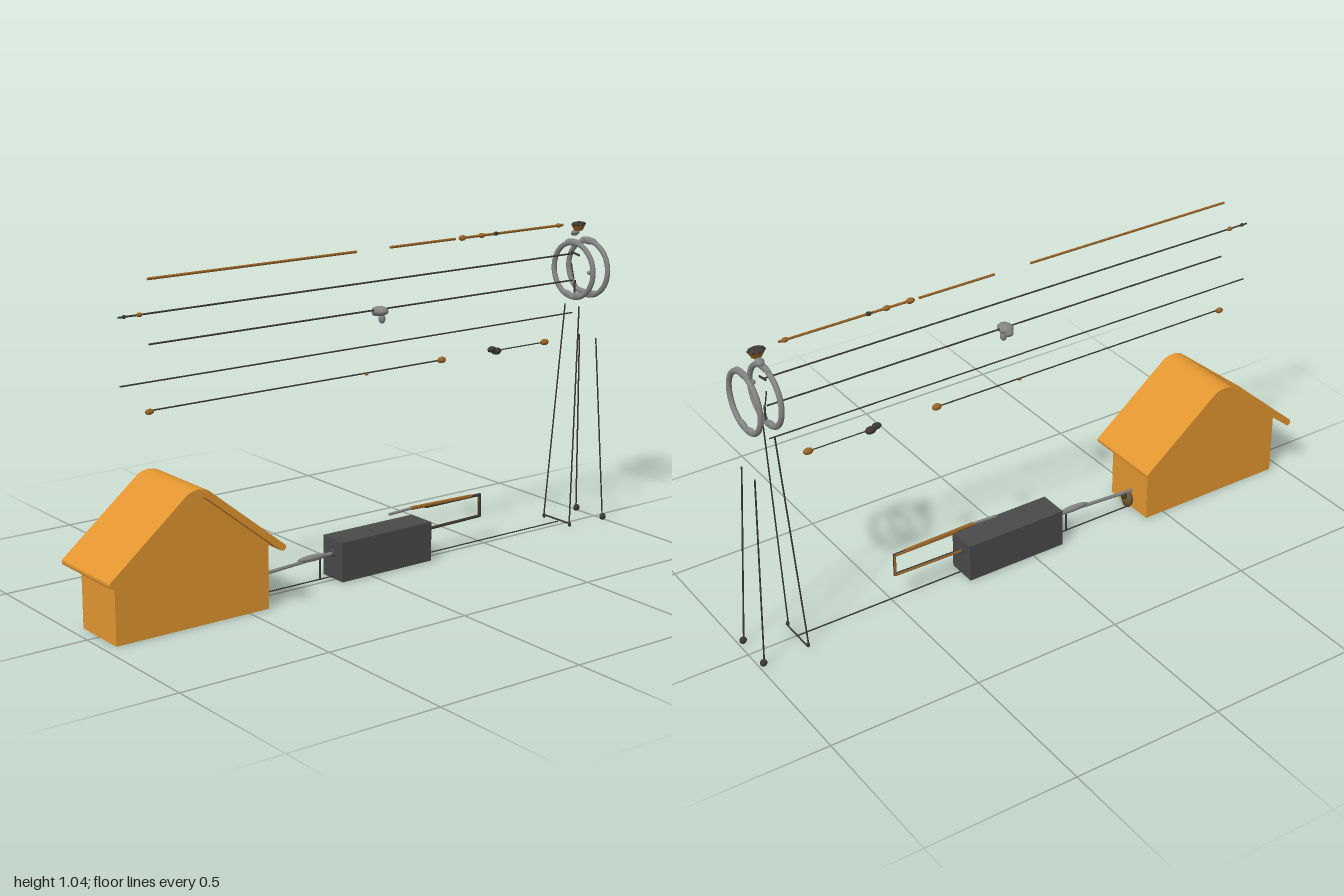
import * as THREE from 'three';

const mat = (name, color) => {
  const m = new THREE.MeshStandardMaterial({ color });
  m.name = name;
  return m;
};

export function createModel() {
  const root = new THREE.Group();
  const orange = mat('orange', 0xe29630);
  const charcoal = mat('charcoal', 0x4a4a4a);
  const steel = mat('steel', 0x848484);
  const wire = mat('dark wire', 0x3c3934);
  const rust = mat('rust', 0x9a6426);
  const olive = mat('olive', 0x6a5a30);
  const CX = -0.01; // shared centre line of the machinery

  const add = (name, geo, material, x = 0, y = 0, z = 0) => {
    const m = new THREE.Mesh(geo, material);
    m.name = name;
    m.position.set(x, y, z);
    root.add(m);
    return m;
  };
  // Straight rod between two points
  const rod = (name, a, b, r, material) => {
    const p = new THREE.Vector3(...a), q = new THREE.Vector3(...b);
    const m = add(name, new THREE.CylinderGeometry(r, r, p.distanceTo(q), 6), material);
    m.position.copy(p).lerp(q, 0.5);
    m.quaternion.setFromUnitVectors(new THREE.Vector3(0, 1, 0), q.sub(p).normalize());
    return m;
  };
  // Small rounded lump, stretched per axis
  const lump = (name, x, y, z, sx, sy, sz, material) => {
    const m = add(name, new THREE.SphereGeometry(1, 10, 7), material, x, y, z);
    m.scale.set(sx, sy, sz);
    return m;
  };
  // Extrude a side profile across x
  const across = (name, shape, x0, x1, z) => {
    const g = new THREE.ExtrudeGeometry(shape, { depth: x1 - x0, bevelEnabled: false, curveSegments: 8 });
    g.rotateY(Math.PI / 2);
    return add(name, g, orange, x0, 0, z);
  };

  // House walls with gabled sides reaching into the roof
  const wall = new THREE.Shape();
  wall.moveTo(-0.265, 0);
  wall.lineTo(0.265, 0);
  wall.lineTo(0.265, 0.216);
  wall.lineTo(0.033, 0.405);
  wall.quadraticCurveTo(0, 0.426, -0.033, 0.405);
  wall.lineTo(-0.265, 0.216);
  across('houseWalls', wall, -0.092, 0.098, 0.695);

  // Overhanging roof with a rounded ridge
  const roof = new THREE.Shape();
  roof.moveTo(-0.3, 0.207);
  roof.quadraticCurveTo(-0.304, 0.19, -0.288, 0.189);
  roof.lineTo(-0.03, 0.399);
  roof.quadraticCurveTo(0, 0.418, 0.03, 0.399);
  roof.lineTo(0.29, 0.189);
  roof.quadraticCurveTo(0.308, 0.188, 0.304, 0.205);
  roof.lineTo(0.036, 0.422);
  roof.quadraticCurveTo(0, 0.44, -0.036, 0.422);
  across('roof', roof, -0.137, 0.137, 0.698);

  // Motor box with a shaft boss at each end
  add('motorBox', new THREE.BoxGeometry(0.102, 0.13, 0.355), charcoal, CX, 0.066, -0.065);
  lump('frontBoss', CX, 0.085, 0.113, 0.014, 0.014, 0.008, charcoal);
  lump('backBoss', CX, 0.09, -0.243, 0.01, 0.01, 0.006, charcoal);

  // Drive shaft, coupling and hub between house and box
  rod('driveShaft', [CX, 0.066, 0.43], [CX, 0.085, 0.1], 0.006, steel);
  lump('coupling', CX, 0.084, 0.19, 0.011, 0.011, 0.06, steel);
  lump('hub', CX, 0.038, 0.412, 0.024, 0.03, 0.018, olive);
  lump('hubCap', CX, 0.055, 0.4, 0.012, 0.012, 0.012, wire);
  rod('shaftStay', [CX, 0.006, 0.163], [CX, 0.08, 0.163], 0.0035, wire);

  // Bent handle behind the box, lined with rust on its left flank
  const handle = [[0.09, -0.235], [0.094, -0.487], [0.167, -0.487], [0.167, -0.26]];
  for (let i = 0; i < 3; i++) {
    const [y0, z0] = handle[i], [y1, z1] = handle[i + 1];
    rod('handleBar', [CX + 0.001, y0, z0], [CX + 0.001, y1, z1], 0.005, wire);
    rod('handleLining', [CX - 0.003, y0, z0], [CX - 0.003, y1, z1], 0.004, rust);
    lump('handleBend', CX, y1, z1, 0.006, 0.005, 0.005, wire);
  }
  rod('handleGrip', [CX, 0.168, -0.45], [CX, 0.173, -0.2], 0.0065, rust);
  rod('handleTip', [CX, 0.173, -0.2], [CX, 0.169, -0.11], 0.005, steel);

  // Cables: height, start z, end z, radius, material
  [
    [1.03, 0.76, 0.02, 0.0042, rust], [1.03, -0.11, -0.37, 0.0042, rust], [1.03, -0.4, -0.83, 0.0042, rust],
    [0.93, 0.86, -0.88, 0.0028, wire], [0.84, 0.76, -0.88, 0.0028, wire], [0.73, 0.86, -0.88, 0.0024, wire],
    [0.645, 0.77, -0.33, 0.0024, wire], [0.645, -0.56, -0.77, 0.002, wire], [0.008, 0.43, -0.84, 0.0022, wire],
  ].forEach(([y, z0, z1, r, m]) => rod('cable', [CX, y, z0], [CX, y, z1], r, m));

  // Clips along the cables
  [
    [1.03, -0.4, 0.012, rust], [1.03, -0.48, 0.011, rust], [1.03, -0.54, 0.009, wire], [1.03, -0.81, 0.01, rust],
    [0.93, 0.79, 0.009, rust], [0.93, 0.84, 0.007, wire],
    [0.642, 0.765, 0.012, rust], [0.642, -0.02, 0.006, rust], [0.645, -0.32, 0.014, rust],
    [0.651, -0.53, 0.014, wire], [0.643, -0.55, 0.016, wire], [0.645, -0.76, 0.014, rust],
  ].forEach(([y, z, s, m]) => lump('cableClip', CX, y, z, s * 0.8, s * 0.75, s * 1.2, m));

  // Pulley hanging on the middle cable
  lump('pulleyBody', CX + 0.003, 0.836, -0.07, 0.03, 0.015, 0.025, steel);
  lump('pulleySide', CX - 0.016, 0.828, -0.07, 0.015, 0.012, 0.016, steel);
  lump('pulleyHook', CX + 0.003, 0.811, -0.077, 0.012, 0.016, 0.011, steel);

  // Twin wheel rings, thickened at the top and bottom
  for (const z of [-0.882, -0.948]) {
    const ring = add('wheelRing', new THREE.TorusGeometry(0.0945, 0.0092, 10, 48), steel, CX, 0.874, z);
    ring.scale.set(1, 0.97, 0.9);
    lump('ringJoint', CX, 0.966, z, 0.042, 0.013, 0.009, steel);
    for (const s of [-1, 1]) lump('ringFoot', CX + s * 0.022, 0.79, z, 0.03, 0.011, 0.009, steel).rotation.z = s * 0.22;
  }
  lump('ringStud', 0.072, 0.877, -0.88, 0.009, 0.008, 0.01, steel);
  rod('wheelPost', [CX + 0.005, 0.785, -0.885], [CX + 0.005, 0.84, -0.885], 0.0035, wire);
  rod('wheelPin', [CX, 0.845, -0.885], [-0.024, 0.895, -0.885], 0.0022, wire);
  rod('wheelAxle', [-0.025, 0.933, -0.885], [0.014, 0.926, -0.885], 0.0035, wire);

  // Cap assembly on top of the wheels
  add('topCap', new THREE.CylinderGeometry(0.02, 0.011, 0.022, 10), rust, -0.01, 1.016, -0.9).scale.z = 1.4;
  lump('topBolt', -0.01, 1.026, -0.9, 0.02, 0.009, 0.029, wire);
  lump('topBracket', -0.025, 0.996, -0.9, 0.016, 0.01, 0.015, steel).rotation.z = 0.5;

  // Splayed legs with feet, mirrored about the centre line
  for (const s of [-1, 1]) {
    rod('frontLeg', [CX + s * 0.034, 0.755, -0.88], [CX + s * 0.064, 0.012, -0.833], 0.0026, wire);
    rod('backLeg', [CX + s * 0.04, 0.64, -0.955], [CX + s * 0.066, 0.012, -0.985], 0.0026, wire);
    lump('frontFoot', CX + s * 0.064, 0.014, -0.835, 0.006, 0.009, 0.006, wire);
    lump('backFoot', CX + s * 0.066, 0.014, -0.987, 0.01, 0.012, 0.012, wire);
  }
  rod('legSpreader', [CX - 0.064, 0.014, -0.84], [CX + 0.064, 0.014, -0.84], 0.003, wire);

  return root;
}
